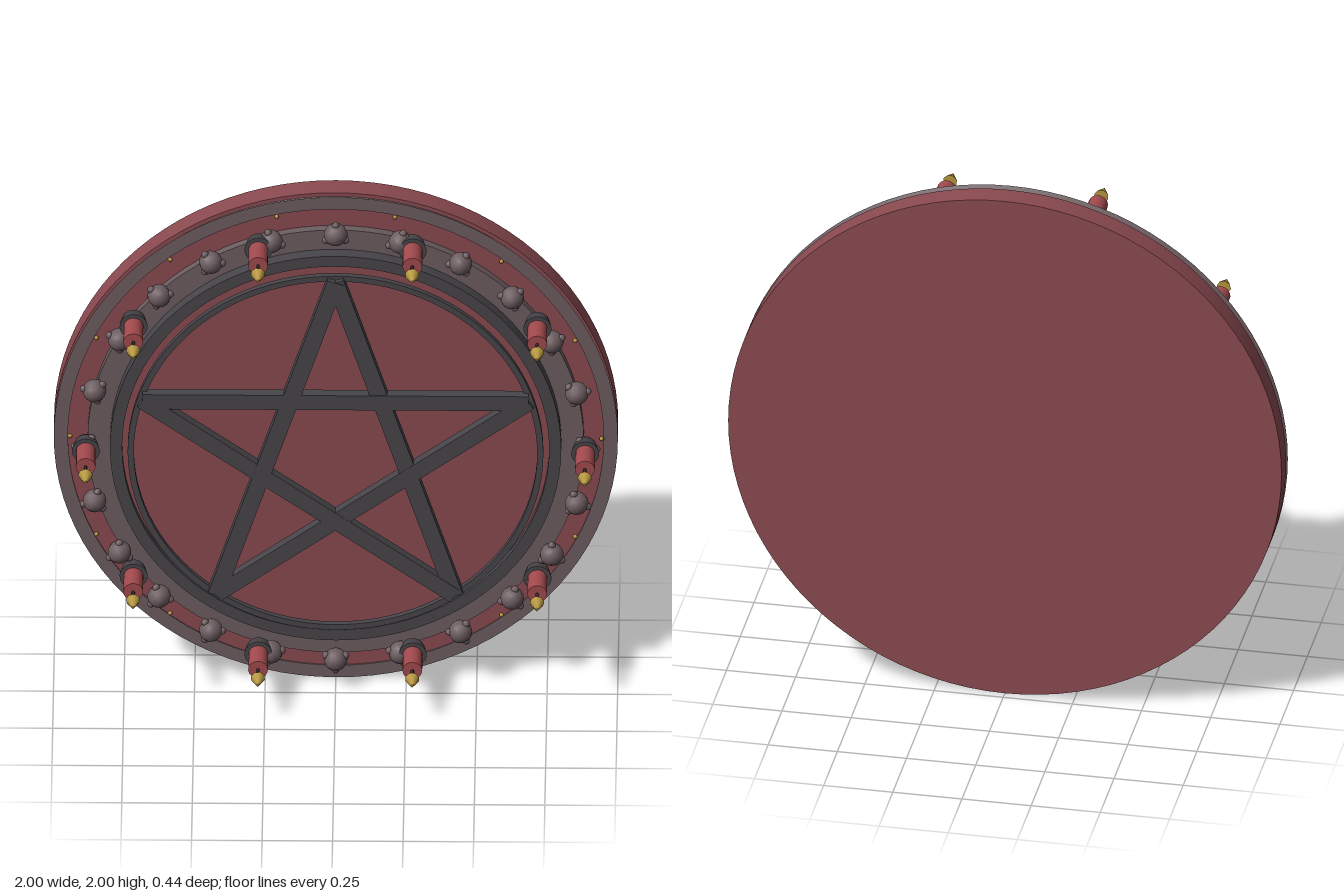
import * as THREE from 'three';
import { toCreasedNormals } from 'three/addons/utils/BufferGeometryUtils.js';

const paint = (name, color) => {
  const m = new THREE.MeshStandardMaterial({ color });
  m.name = name;
  return m;
};

export function createModel() {
  const red = paint('dark red', 0x8a4a50);
  const stone = paint('warm grey stone', 0x6c5c60);
  const iron = paint('dark iron', 0x474549);
  const wax = paint('red wax', 0xa34a4e);
  const gold = paint('gold', 0xb5963e);
  const black = paint('wick black', 0x2c2a2c);

  const model = new THREE.Group();
  model.name = 'wallSeal';
  const seal = new THREE.Group();
  seal.name = 'seal';
  seal.position.y = 1;
  model.add(seal);

  const add = (parent, name, geometry, material, x = 0, y = 0, z = 0) => {
    const mesh = new THREE.Mesh(geometry, material);
    mesh.name = name;
    mesh.position.set(x, y, z);
    parent.add(mesh);
    return mesh;
  };

  // Turned part around the z axis; profile is [radius, z], anticlockwise
  const turned = (name, profile, material) => {
    const points = profile.map(([r, z]) => new THREE.Vector2(r, z));
    const geometry = toCreasedNormals(new THREE.LatheGeometry(points, 96), 0.5);
    geometry.rotateX(Math.PI / 2);
    return add(seal, name, geometry, material);
  };
  const disc = (name, r, z0, z1, material) =>
    turned(name, [[0, z0], [r, z0], [r, z1], [0, z1]], material);
  const ring = (name, r0, r1, z0, z1, material) =>
    turned(name, [[r0, z0], [r1, z0], [r1, z1], [r0, z1], [r0, z0]], material);

  // Stacked plates and rings
  disc('backPlate', 1, -0.22, -0.135, red);
  turned('outerRim', [[0.95, -0.135], [0.985, -0.135], [0.972, -0.122], [1, -0.105], [0.95, -0.105], [0.95, -0.135]], stone);
  disc('redBand', 0.952, -0.136, -0.11, red);
  ring('stoneRing', 0.78, 0.88, -0.112, -0.078, stone);
  disc('innerPanel', 0.79, -0.111, -0.055, red);
  ring('ironRing', 0.757, 0.8, -0.08, -0.03, iron);
  ring('thinRing', 0.715, 0.737, -0.02, 0.002, iron);

  // Five-pointed star of straight bars
  const star = new THREE.Group();
  star.name = 'star';
  seal.add(star);
  const reach = 0.72;
  for (let i = 0; i < 5; i++) {
    const a = (i * 2 * Math.PI) / 5, b = a + (4 * Math.PI) / 5;
    const x0 = reach * Math.sin(a), y0 = reach * Math.cos(a);
    const x1 = reach * Math.sin(b), y1 = reach * Math.cos(b);
    const bar = add(star, 'starBar', new THREE.BoxGeometry(Math.hypot(x1 - x0, y1 - y0), 0.06, 0.04),
      iron, (x0 + x1) / 2, (y0 + y1) / 2, 0.001 * i);
    bar.rotation.z = Math.atan2(y1 - y0, x1 - x0);
  }

  // Places a group on a circle, its own +y pointing outwards
  const around = (name, count, shift, radius, build) => {
    for (let i = 0; i < count; i++) {
      const a = ((i + shift) * 2 * Math.PI) / count;
      const group = new THREE.Group();
      group.name = name;
      group.position.set(radius * Math.sin(a), radius * Math.cos(a), 0);
      group.rotation.z = -a;
      build(group);
      seal.add(group);
    }
  };

  // Knobs, each with three small bumps
  const knob = new THREE.SphereGeometry(0.042, 12, 9);
  const bump = new THREE.SphereGeometry(0.014, 8, 6);
  around('knob', 24, 0, 0.885, (g) => {
    add(g, 'knobBody', knob, stone, 0, 0, -0.04);
    for (let k = 0; k < 3; k++) {
      const a = (k * 2 * Math.PI) / 3;
      add(g, 'knobBump', bump, stone, 0.04 * Math.sin(a), 0.04 * Math.cos(a), -0.035);
    }
  });

  // Candles pointing forwards
  const rod = (r0, r1, length, sides) => new THREE.CylinderGeometry(r1, r0, length, sides).rotateX(Math.PI / 2);
  const holder = rod(0.042, 0.05, 0.045, 16);
  const candle = rod(0.035, 0.035, 0.11, 16);
  const wick = rod(0.006, 0.006, 0.026, 6);
  const flame = new THREE.ConeGeometry(0.026, 0.06, 8).rotateX(Math.PI / 2);
  around('candle', 10, 0.5, 0.885, (g) => {
    add(g, 'candleHolder', holder, iron, 0, 0, -0.025);
    add(g, 'candleBody', candle, wax, 0, 0, 0.049);
    add(g, 'wick', wick, black, 0, 0, 0.115);
    add(g, 'flame', flame, gold, 0, 0, 0.19);
  });

  // Small gold studs on the red band
  const stud = new THREE.SphereGeometry(0.008, 8, 6);
  around('goldStud', 14, 0.5, 0.942, (g) => add(g, 'stud', stud, gold, 0, 0, -0.105));

  return model;
}
